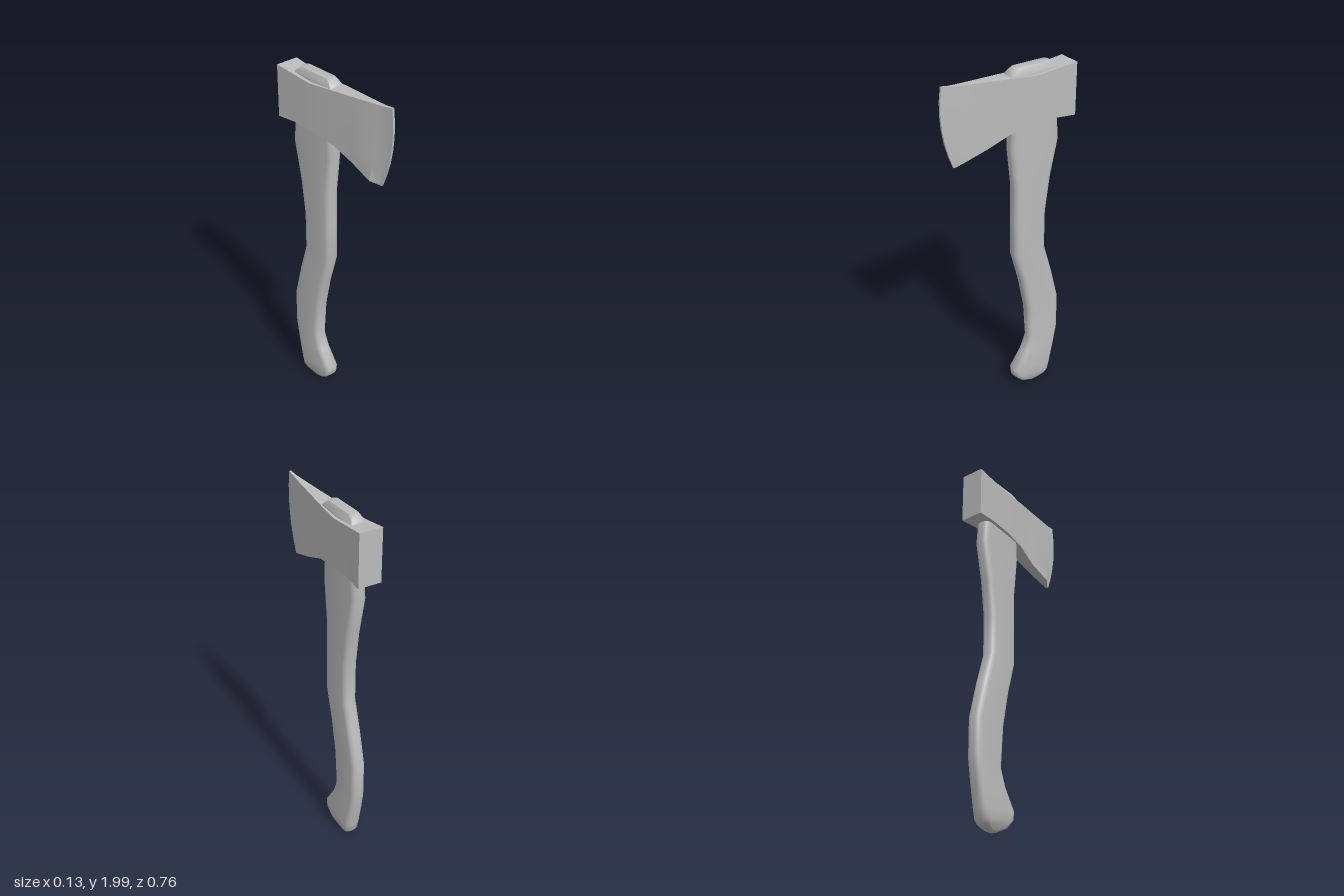
import * as THREE from 'three';
import { toCreasedNormals } from 'three/addons/utils/BufferGeometryUtils.js';

// Skin equal-sized rings (counter-clockwise about the direction of travel) and cap both ends
function loft(rings, crease) {
  const n = rings[0].length, last = (rings.length - 1) * n, index = [];
  for (let i = 0; i < rings.length - 1; i++) {
    for (let j = 0; j < n; j++) {
      const a = i * n + j, b = i * n + (j + 1) % n;
      index.push(a, b, b + n, a, b + n, a + n);
    }
  }
  for (let j = 0; j < n / 2 - 1; j++) {
    const a = j, b = j + 1, c = n - 2 - j, d = n - 1 - j;
    index.push(a, c, b, a, d, c);
    index.push(last + a, last + b, last + c, last + a, last + c, last + d);
  }
  const geometry = new THREE.BufferGeometry();
  geometry.setAttribute('position', new THREE.Float32BufferAttribute(rings.flat(2), 3));
  geometry.setIndex(index);
  return toCreasedNormals(geometry, crease);
}

// Rounded rectangle slice of the handle, tilted from its front point to its back point
function handleRing([zF, yF, zB, yB, w, radius = 0.032]) {
  const h = (zF - zB) / 2, mid = (zF + zB) / 2;
  const r = Math.min(radius, w * 0.85, h * 0.85), ring = [];
  [[1, 1], [1, -1], [-1, -1], [-1, 1]].forEach(([sx, sz], q) => {
    for (let k = 0; k <= 4; k++) {
      const a = (q + k / 4) * Math.PI / 2;
      const dz = sz * (h - r) + r * Math.cos(a);
      ring.push([sx * (w - r) + r * Math.sin(a), (yF + yB) / 2 + (yF - yB) * dz / (2 * h), mid + dz]);
    }
  });
  return ring;
}

// Slice of the axe head: up the left side, down the right side
function headRing([zT, yT, zB, yB, w, bulge = 0, wRightBottom = w]) {
  const levels = 6, left = [], right = [];
  for (let k = 0; k <= levels; k++) {
    const t = k / levels;
    const y = yB + (yT - yB) * t;
    const z = zB + (zT - zB) * t + bulge * 4 * t * (1 - t);
    left.push([w, y, z]);
    right.unshift([-(wRightBottom + (w - wRightBottom) * t), y, z]);
  }
  return [...left, ...right];
}

export function createModel() {
  const model = new THREE.Group();
  model.name = 'axe';
  const grey = new THREE.MeshStandardMaterial({ color: 0xbbbbbb });
  grey.name = 'plain grey';

  // Curved handle: front z, front y, back z, back y, half width, corner radius
  const handleSlices = [
    [-0.15, 0.008, -0.22, 0.012, 0.024],
    [-0.08, 0.04, -0.26, 0.03, 0.037],
    [-0.04, 0.085, -0.275, 0.05, 0.043],
    [-0.036, 0.13, -0.285, 0.10, 0.045],
    [-0.105, 0.24, -0.312, 0.22, 0.042],
    [-0.137, 0.33, -0.335, 0.345, 0.04],
    [-0.12, 0.555, -0.335, 0.555, 0.04],
    [-0.08, 0.75, -0.285, 0.755, 0.04],
    [-0.03, 0.93, -0.233, 0.93, 0.04],
    [-0.03, 1.155, -0.233, 1.155, 0.04],
    [-0.03, 1.345, -0.26, 1.36, 0.04],
    [-0.005, 1.575, -0.305, 1.57, 0.04],
    [-0.01, 1.69, -0.295, 1.69, 0.04],
    [0, 1.95, -0.277, 1.95, 0.04, 0.004],
    [-0.005, 1.97, -0.273, 1.97, 0.039, 0.008],
    [-0.03, 2.0, -0.245, 2.0, 0.026, 0.02],
  ];
  const handle = new THREE.Mesh(loft(handleSlices.map(handleRing), 1.0), grey);
  handle.name = 'handle';

  // Head from poll to cutting edge: top z, top y, bottom z, bottom y, half width, edge bulge
  const headSlices = [
    [-0.378, 1.975, -0.378, 1.69, 0.064],
    [-0.26, 1.963, -0.26, 1.70, 0.059],
    [-0.14, 1.953, -0.14, 1.692, 0.057],
    [0, 1.964, 0, 1.677, 0.045],
    [0.135, 1.973, 0.135, 1.622, 0.03],
    [0.285, 1.983, 0.268, 1.576, 0.014, 0.01, 0.035],
    [0.335, 1.988, 0.308, 1.563, 0.008, 0.025],
    [0.376, 1.995, 0.322, 1.56, 0.006, 0.032],
  ];
  const head = new THREE.Mesh(loft(headSlices.map(headRing), 0.5), grey);
  head.name = 'axeHead';

  model.add(handle, head);
  return model;
}
